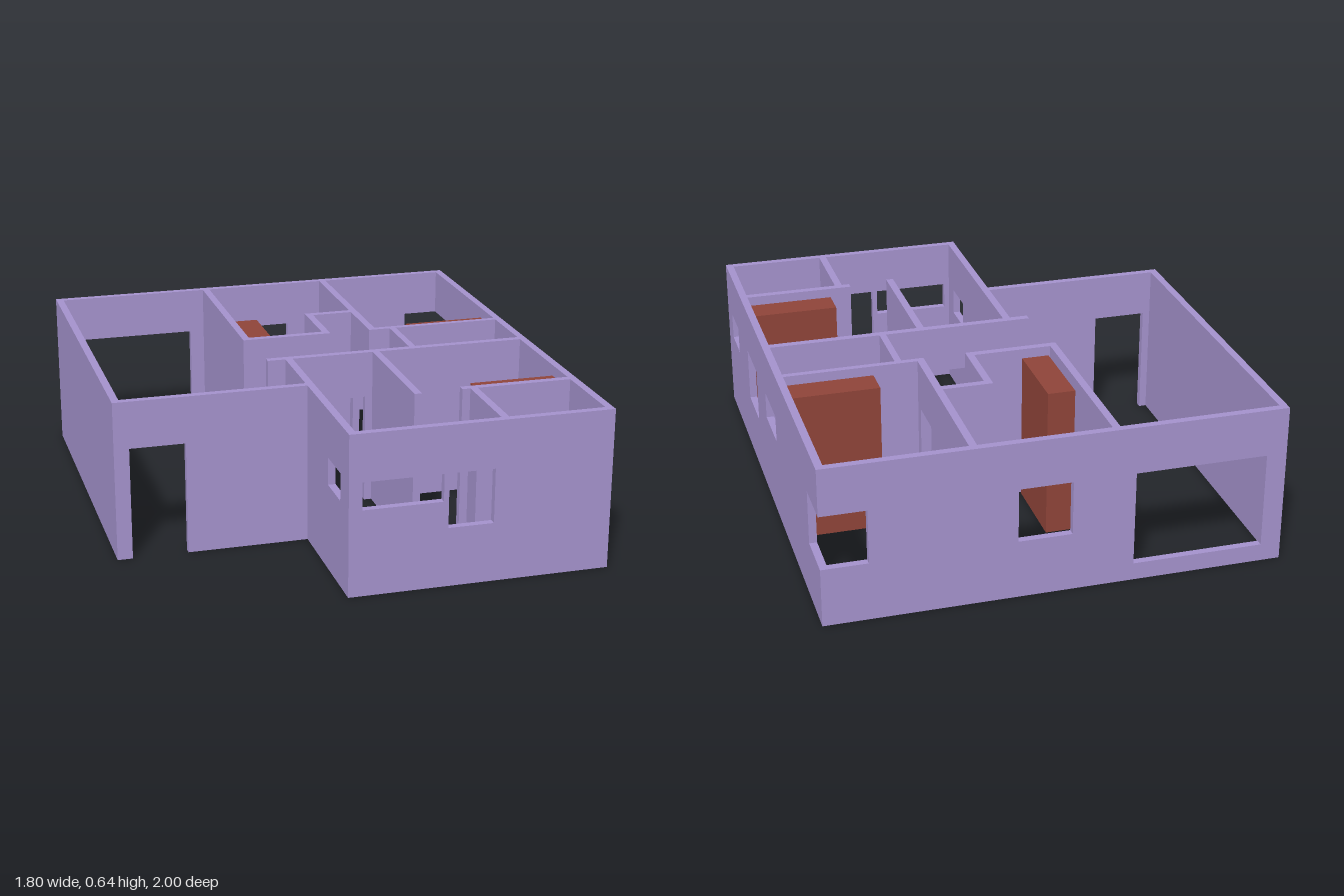
import * as THREE from 'three';

const H = 0.645;   // wall height
const TOP = 0.455; // head height of doors and windows
const T = 0.03;    // wall thickness

export function createModel() {
  const model = new THREE.Group();
  model.name = 'floorPlan';
  const wallPaint = new THREE.MeshStandardMaterial({ color: 0xa391cb });
  wallPaint.name = 'lilacWall';
  const wood = new THREE.MeshStandardMaterial({ color: 0x8e4439 });
  wood.name = 'redBrownWood';

  // Wall elevation from u = a to b. Openings are [start, end, sill]:
  // sill 0 is a door, an opening reaching b is a corner window.
  function wallGeometry(a, b, openings, thick) {
    const pts = [[a, 0]];
    const holes = [];
    const sorted = [...openings].sort((p, q) => p[0] - q[0]);
    for (const [s, e, sill] of sorted)
      if (sill === 0) pts.push([s, 0], [s, TOP], [e, TOP], [e, 0]);
    pts.push([b, 0]);
    for (const [s, e, sill] of sorted) {
      if (sill === 0) continue;
      if (e >= b) pts.push([b, sill], [s, sill], [s, TOP], [b, TOP]);
      else holes.push([[s, sill], [s, TOP], [e, TOP], [e, sill]]);
    }
    pts.push([b, H], [a, H]);
    const toVectors = (list) => list.map(([x, y]) => new THREE.Vector2(x, y));
    const shape = new THREE.Shape(toVectors(pts));
    shape.holes = holes.map((h) => new THREE.Path(toVectors(h)));
    return new THREE.ExtrudeGeometry(shape, { depth: thick, bevelEnabled: false });
  }

  // Wall running along x, its back face at z
  function wallX(name, x0, x1, z, openings = [], thick = T) {
    const mesh = new THREE.Mesh(wallGeometry(x0, x1, openings, thick), wallPaint);
    mesh.name = name;
    mesh.position.z = z;
    model.add(mesh);
  }

  // Wall running along z, its right face at x
  function wallZ(name, z0, z1, x, openings = [], thick = T) {
    const flipped = openings.map(([s, e, sill]) => [-e, -s, sill]);
    const mesh = new THREE.Mesh(wallGeometry(-z1, -z0, flipped, thick), wallPaint);
    mesh.name = name;
    mesh.rotation.y = Math.PI / 2;
    mesh.position.x = x;
    model.add(mesh);
  }

  // Outer walls
  wallX('backWall', -0.9, 0.9, -1, [[-0.82, -0.3, 0.07], [-0.055, 0.155, 0.237], [0.72, 0.9, 0.237]]);
  wallZ('leftSideWall', -1, 1, 0.87,
    [[-1, -0.8, 0.237], [-0.165, 0.06, 0.345], [0.267, 0.485, 0.237], [0.725, 0.89, 0.345]]);
  wallZ('rightSideWall', -1, 0.435, -0.9);
  wallX('entranceWall', -0.9, -0.11, 0.405, [[-0.84, -0.62, 0]]);
  wallZ('frontRoomSideWall', 0.07, 1, -0.137, [[0.725, 0.89, 0.345]]);
  wallX('frontWall', -0.137, 0.9, 0.97, [[-0.085, 0.23, 0.345], [0.25, 0.43, 0.237]]);

  // Back bedrooms and the alcove between them
  wallZ('backBedroomWall', -1, -0.19, -0.24);
  wallX('corridorWall', -0.24, 0.135, -0.22);
  wallZ('alcoveWall', -0.49, -0.19, 0.105, [[-0.42, -0.255, 0]]);
  wallX('alcoveBackWall', 0.105, 0.335, -0.49);
  wallZ('bedroomDivider', -1, -0.19, 0.305, [[-0.42, -0.255, 0]]);

  // Bathroom beside the corridor
  wallX('bathroomBackWall', 0.305, 0.89, -0.215, [], 0.025);
  wallZ('bathroomWall', -0.2, 0.1, 0.395, [[-0.16, 0.065, 0]], 0.027);
  wallX('middleWall', -0.21, 0.89, 0.07, [[0.065, 0.2, 0], [0.268, 0.39, 0]]);

  // Front rooms
  wallZ('frontRoomDivider', 0.085, 0.64, 0.23);
  wallX('frontBathroomBackWall', 0.425, 0.89, 0.605);
  wallZ('frontBathroomWall', 0.61, 0.99, 0.457, [[0.73, 0.9, 0]]);

  // Furniture: name, x range, z range, height
  const furniture = [
    ['backWardrobe', -0.2, -0.09, -0.57, -0.23, 0.61],
    ['sideWardrobe', 0.515, 0.86, -0.34, -0.222, 0.61],
    ['frontWardrobe', 0.515, 0.86, 0.48, 0.597, 0.61],
    ['lowPlatform', -0.098, 0.032, 0.375, 0.64, 0.02],
  ];
  for (const [name, x0, x1, z0, z1, h] of furniture) {
    const mesh = new THREE.Mesh(new THREE.BoxGeometry(x1 - x0, h, z1 - z0), wood);
    mesh.name = name;
    mesh.position.set((x0 + x1) / 2, h / 2, (z0 + z1) / 2);
    model.add(mesh);
  }
  return model;
}
